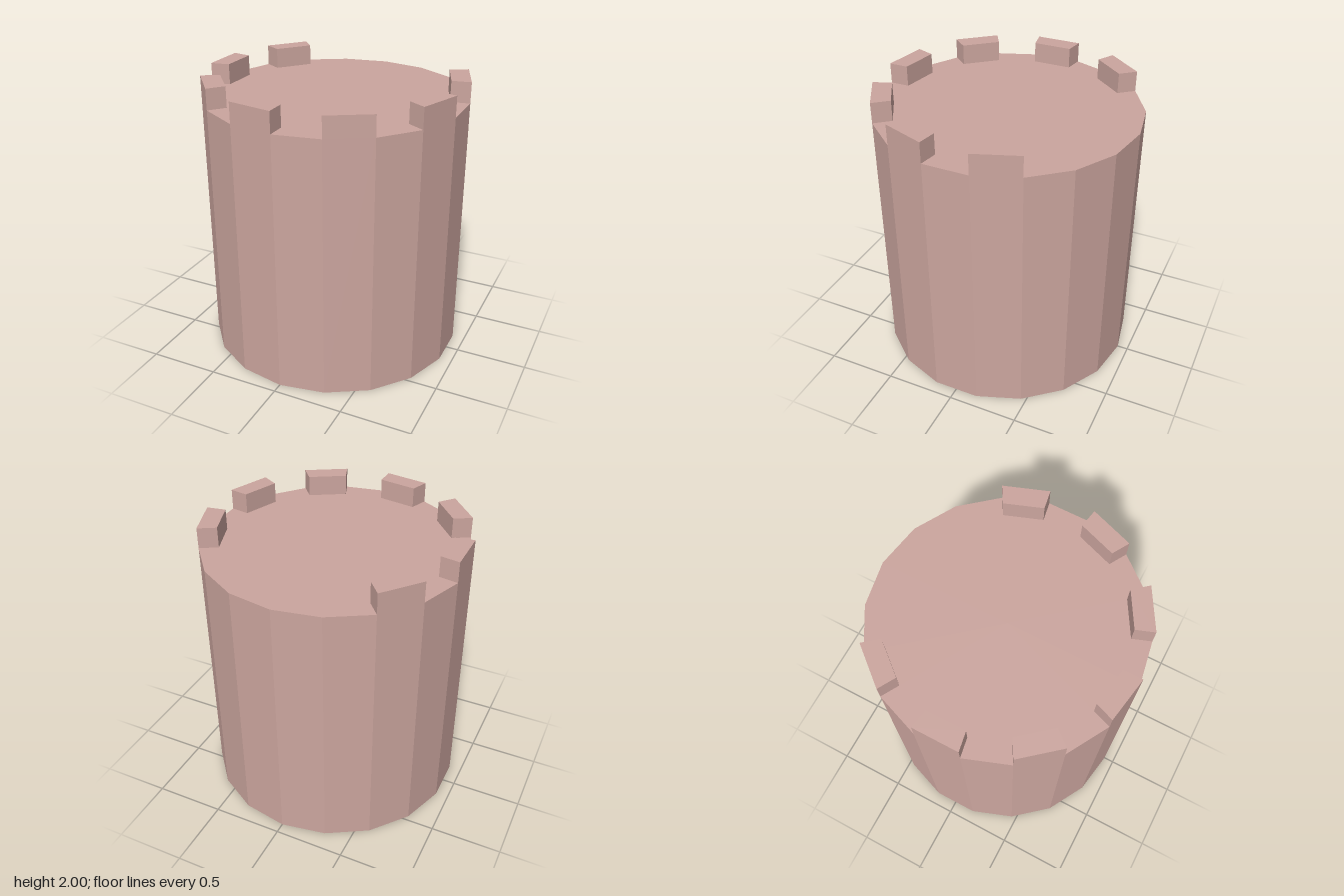
import * as THREE from 'three';

const SIDES = 18, STEP = (Math.PI * 2) / SIDES;
const OUTER = 0.925, INNER = 0.79, WALL_TOP = 1.854, TOP = 2;

// One battlement block over a single side, with radial ends
function merlonGeometry() {
  const corner = (r, a) => new THREE.Vector2(r * Math.sin(a), -r * Math.cos(a));
  const shape = new THREE.Shape([
    corner(OUTER, 0), corner(OUTER, STEP), corner(INNER, STEP), corner(INNER, 0),
  ]);
  const geometry = new THREE.ExtrudeGeometry(shape, { depth: TOP - WALL_TOP, bevelEnabled: false });
  return geometry.rotateX(-Math.PI / 2);
}

export function createModel() {
  const group = new THREE.Group();
  group.name = 'tower';
  const stone = new THREE.MeshStandardMaterial({ color: 0xcba59e, flatShading: true });

  // Solid tower drum
  const drum = new THREE.Mesh(new THREE.CylinderGeometry(OUTER, OUTER, WALL_TOP, SIDES), stone);
  drum.name = 'towerBody';
  drum.position.y = WALL_TOP / 2;
  group.add(drum);

  // Battlements on every other side, leaving the back open
  const battlements = new THREE.Group();
  battlements.name = 'battlements';
  const geometry = merlonGeometry();
  for (let side = -7; side <= 5; side += 2) {
    const merlon = new THREE.Mesh(geometry, stone);
    merlon.name = 'merlon';
    merlon.position.y = WALL_TOP;
    merlon.rotation.y = side * STEP;
    battlements.add(merlon);
  }
  group.add(battlements);
  return group;
}
